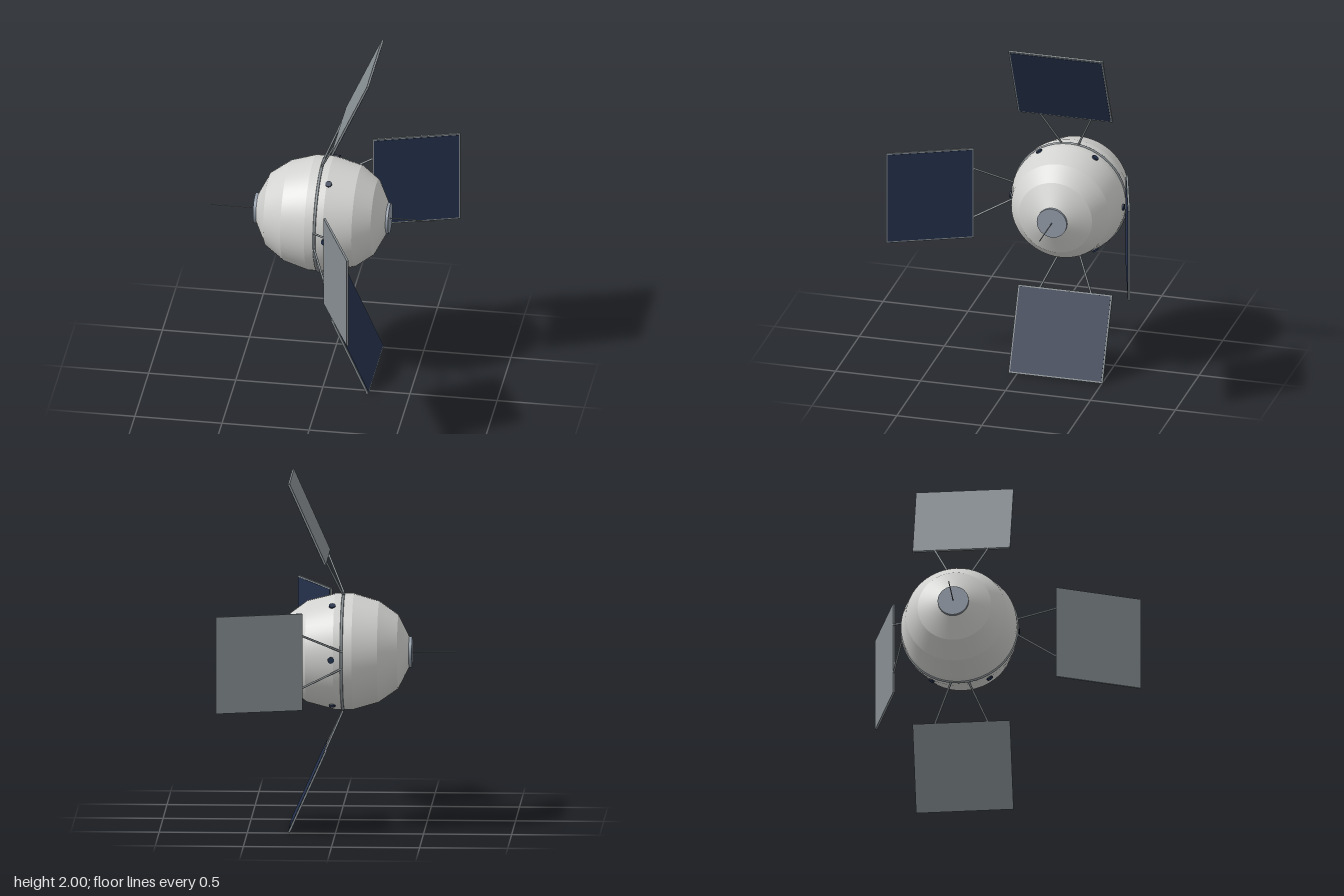
import * as THREE from 'three';
import { toCreasedNormals } from 'three/addons/utils/BufferGeometryUtils.js';

const material = (name, color) => {
  const m = new THREE.MeshStandardMaterial({ color });
  m.name = name;
  return m;
};

export function createModel() {
  const hullGrey = material('hull light grey', 0xd2d2d0);
  const capGrey = material('cap blue grey', 0x929ca8);
  const frameGrey = material('frame grey', 0x868d91);
  const navy = material('solar navy', 0x24314c);

  const model = new THREE.Group();
  model.name = 'satellite';

  // Everything is placed around the hull axis, which runs along x
  const craft = new THREE.Group();
  craft.name = 'craft';
  craft.position.set(0, 1, -0.23);
  model.add(craft);

  const add = (parent, name, geometry, mat, x = 0, y = 0, z = 0) => {
    const mesh = new THREE.Mesh(geometry, mat);
    mesh.name = name;
    mesh.position.set(x, y, z);
    parent.add(mesh);
    return mesh;
  };
  const axial = (radius, length, sides) =>
    new THREE.CylinderGeometry(radius, radius, length, sides).rotateZ(-Math.PI / 2);

  // Banded hull: crisp between bands, smooth around
  const profile = [
    [0, -0.407], [0.088, -0.407], [0.21, -0.346], [0.288, -0.236], [0.33, -0.093],
    [0.33, 0.012], [0.288, 0.172], [0.215, 0.27], [0.088, 0.335], [0, 0.335],
  ].map(([r, x]) => new THREE.Vector2(r, x));
  const hull = toCreasedNormals(new THREE.LatheGeometry(profile, 48), 0.2);
  add(craft, 'hull', hull.rotateZ(-Math.PI / 2), hullGrey);

  // End caps and thin antennas
  add(craft, 'rearCap', axial(0.088, 0.025, 32), capGrey, -0.412);
  add(craft, 'frontCap', axial(0.088, 0.025, 32), capGrey, 0.338);
  add(craft, 'rearAntenna', axial(0.003, 0.26, 8), frameGrey, -0.545);
  add(craft, 'frontAntenna', axial(0.003, 0.26, 8), frameGrey, 0.475);

  // Belt ring
  add(craft, 'beltRing', new THREE.TorusGeometry(0.33, 0.008, 8, 48).rotateY(Math.PI / 2),
    frameGrey, -0.035);

  // Six portholes around the hull
  for (let i = 0; i < 6; i++) {
    const a = Math.PI / 6 + (i * Math.PI) / 3;
    const porthole = add(craft, 'porthole', new THREE.CylinderGeometry(0.019, 0.019, 0.009, 10),
      navy, 0.023, Math.cos(a) * 0.331, Math.sin(a) * 0.331);
    porthole.rotation.x = a;
  }

  // Round bar between two points
  const bar = (parent, name, from, to, radius) => {
    const dir = to.clone().sub(from);
    const mesh = add(parent, name, new THREE.CylinderGeometry(radius, radius, dir.length(), 8), frameGrey);
    mesh.position.copy(from).lerp(to, 0.5);
    mesh.quaternion.setFromUnitVectors(new THREE.Vector3(0, 1, 0), dir.normalize());
  };

  // Four hinged solar wings; the one at the back is folded further
  const names = ['topWing', 'frontWing', 'bottomWing', 'backWing'];
  names.forEach((name, i) => {
    const spoke = new THREE.Group();
    spoke.name = name;
    spoke.rotation.x = (i * Math.PI) / 2;
    craft.add(spoke);

    const hinge = new THREE.Group();
    hinge.name = 'hinge';
    hinge.position.set(-0.035, 0.33, 0);
    hinge.rotation.z = -(i === 3 ? 1.274 : 0.42);
    spoke.add(hinge);

    add(hinge, 'panelFrame', new THREE.BoxGeometry(0.012, 0.505, 0.555), frameGrey, 0, 0.481, 0);
    add(hinge, 'solarCells', new THREE.BoxGeometry(0.004, 0.487, 0.537), navy, 0.006, 0.481, 0);
    for (const s of [-1, 1]) {
      bar(hinge, 'strut', new THREE.Vector3(0, -0.005, s * 0.048),
        new THREE.Vector3(0, 0.235, s * 0.152), 0.006);
    }
  });

  return model;
}
